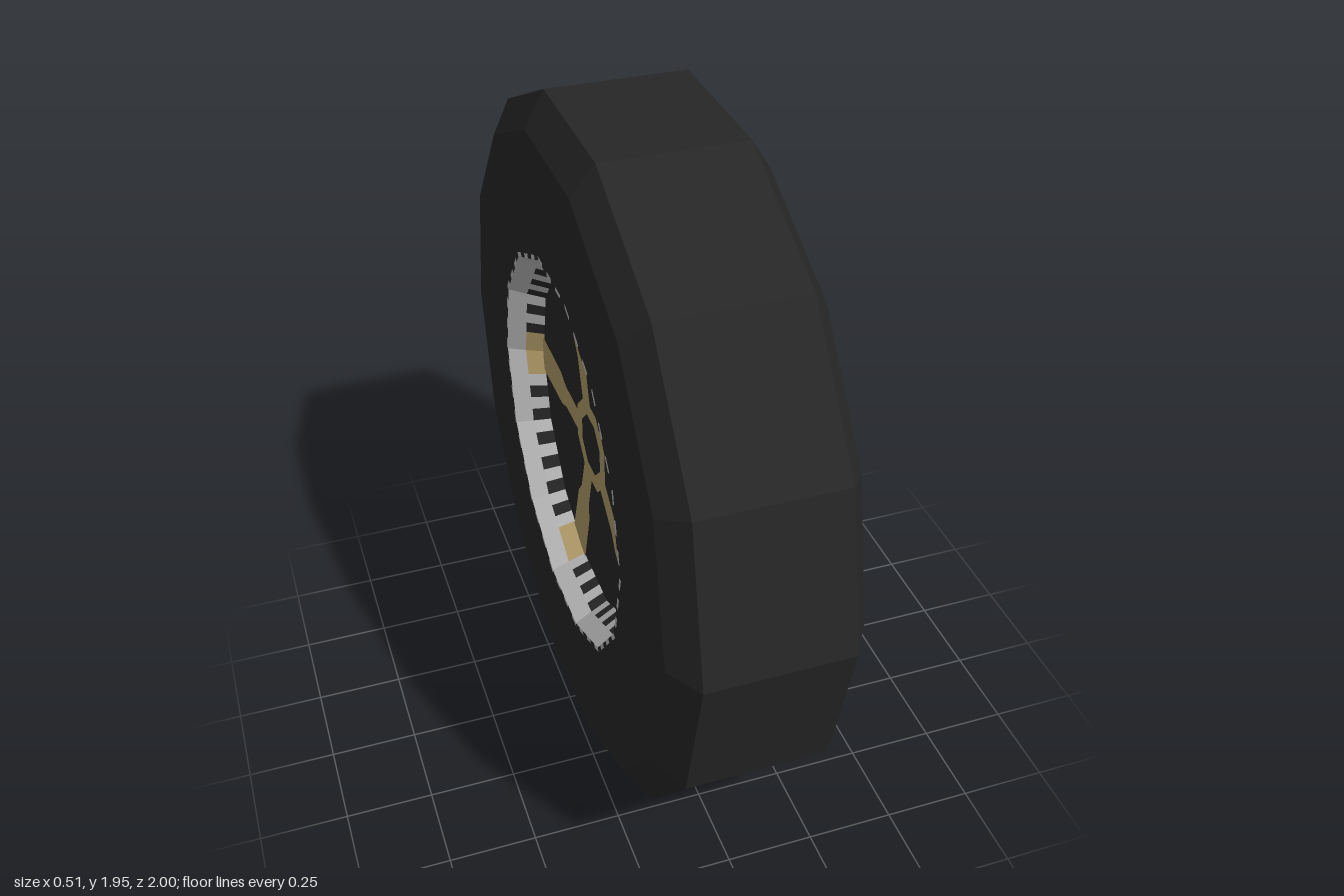
import * as THREE from 'three';

const SIDES = 14, SUB = 6, RADIUS = 0.975;
const FACE_X = 0.255, DISC_X = 0.155;

const rubber = new THREE.MeshStandardMaterial({ color: 0x262626 });
const metal = new THREE.MeshStandardMaterial({ color: 0xb8b8b8 });
const gold = new THREE.MeshStandardMaterial({ color: 0xb09a68 });
rubber.name = 'blackRubber';
metal.name = 'lightMetal';
gold.name = 'gold';
for (const m of [rubber, metal, gold]) m.flatShading = true;
const materials = [rubber, metal, gold];

// point on a 14-sided ring around the x axis; step i counts from -z towards +y
function ringPoint(x, r, i) {
  const corner = Math.floor(i / SUB), t = i / SUB - corner;
  const a = (corner * 2 * Math.PI) / SIDES, b = a + (2 * Math.PI) / SIDES;
  const c = Math.cos(a) * (1 - t) + Math.cos(b) * t;
  const s = Math.sin(a) * (1 - t) + Math.sin(b) * t;
  return [x, r * s, -r * c];
}

// ring of quads from the inner to the outer edge, coloured by pick(step)
function band(name, xIn, rIn, xOut, rOut, pick) {
  const geo = new THREE.BufferGeometry(), pos = [];
  for (let i = 0; i < SIDES * SUB; i++) {
    const a = ringPoint(xIn, rIn, i), b = ringPoint(xOut, rOut, i);
    const c = ringPoint(xOut, rOut, i + 1), d = ringPoint(xIn, rIn, i + 1);
    pos.push(...a, ...b, ...c, ...a, ...c, ...d);
    geo.addGroup(i * 6, 6, pick(i));
  }
  geo.setAttribute('position', new THREE.Float32BufferAttribute(pos, 3));
  geo.computeVertexNormals();
  const mesh = new THREE.Mesh(geo, materials);
  mesh.name = name;
  return mesh;
}

// inner rim colours: gold at the spoke ends, dark notches elsewhere
function rimNotch(i) {
  const deg = ((i + 0.5) * 360) / (SIDES * SUB);
  const off = Math.abs(deg - 72 * Math.round(deg / 72));
  if (off < 7) return 2;
  return i % 2 ? 0 : 1;
}

function wheelFace(name) {
  const face = new THREE.Group();
  face.name = name;
  const midX = (FACE_X + DISC_X) / 2;
  face.add(
    band('recessedDisc', DISC_X, 0, DISC_X, 0.505, () => 0),
    band('rimInner', DISC_X, 0.505, midX, 0.53, rimNotch),
    band('rimOuter', midX, 0.53, FACE_X, 0.557, () => 1),
    band('rimTeeth', FACE_X, 0.557, FACE_X, 0.57, (i) => i % 2)
  );

  // five tapered spokes and the hub ring, as thin plates on the disc
  const spokeShape = new THREE.Shape([
    new THREE.Vector2(0.11, -0.035), new THREE.Vector2(0.25, -0.037),
    new THREE.Vector2(0.3, -0.056), new THREE.Vector2(0.5, -0.06),
    new THREE.Vector2(0.5, 0.06), new THREE.Vector2(0.3, 0.056),
    new THREE.Vector2(0.25, 0.037), new THREE.Vector2(0.11, 0.035),
  ]);
  for (let k = 0; k < 5; k++) {
    const geo = new THREE.ShapeGeometry(spokeShape);
    geo.rotateZ((k * 2 * Math.PI) / 5).rotateY(Math.PI / 2);
    const spoke = new THREE.Mesh(geo, gold);
    spoke.name = 'spoke' + (k + 1);
    spoke.position.x = DISC_X + 0.003;
    face.add(spoke);
  }
  const hub = new THREE.Mesh(new THREE.RingGeometry(0.09, 0.14, 8, 1, Math.PI / 8).rotateY(Math.PI / 2), gold);
  hub.name = 'hubRing';
  hub.position.x = DISC_X + 0.004;
  face.add(hub);
  return face;
}

export function createModel() {
  const wheel = new THREE.Group();
  wheel.name = 'wheel';

  // tyre: flat tread, chamfered shoulders, flat sidewalls
  const profile = [
    [0.57, -FACE_X], [0.905, -FACE_X], [1, -0.195],
    [1, 0.195], [0.905, FACE_X], [0.57, FACE_X],
  ].map(([r, h]) => new THREE.Vector2(r, h));
  const tyre = new THREE.Mesh(new THREE.LatheGeometry(profile, SIDES).rotateZ(-Math.PI / 2), rubber);
  tyre.name = 'tyre';
  wheel.add(tyre);

  // both sides carry the same rim and spokes
  const left = wheelFace('leftFace');
  const right = wheelFace('rightFace');
  right.rotation.z = Math.PI;
  wheel.add(left, right);

  wheel.position.y = RADIUS;
  const model = new THREE.Group();
  model.name = 'spokedWheel';
  model.add(wheel);
  return model;
}
